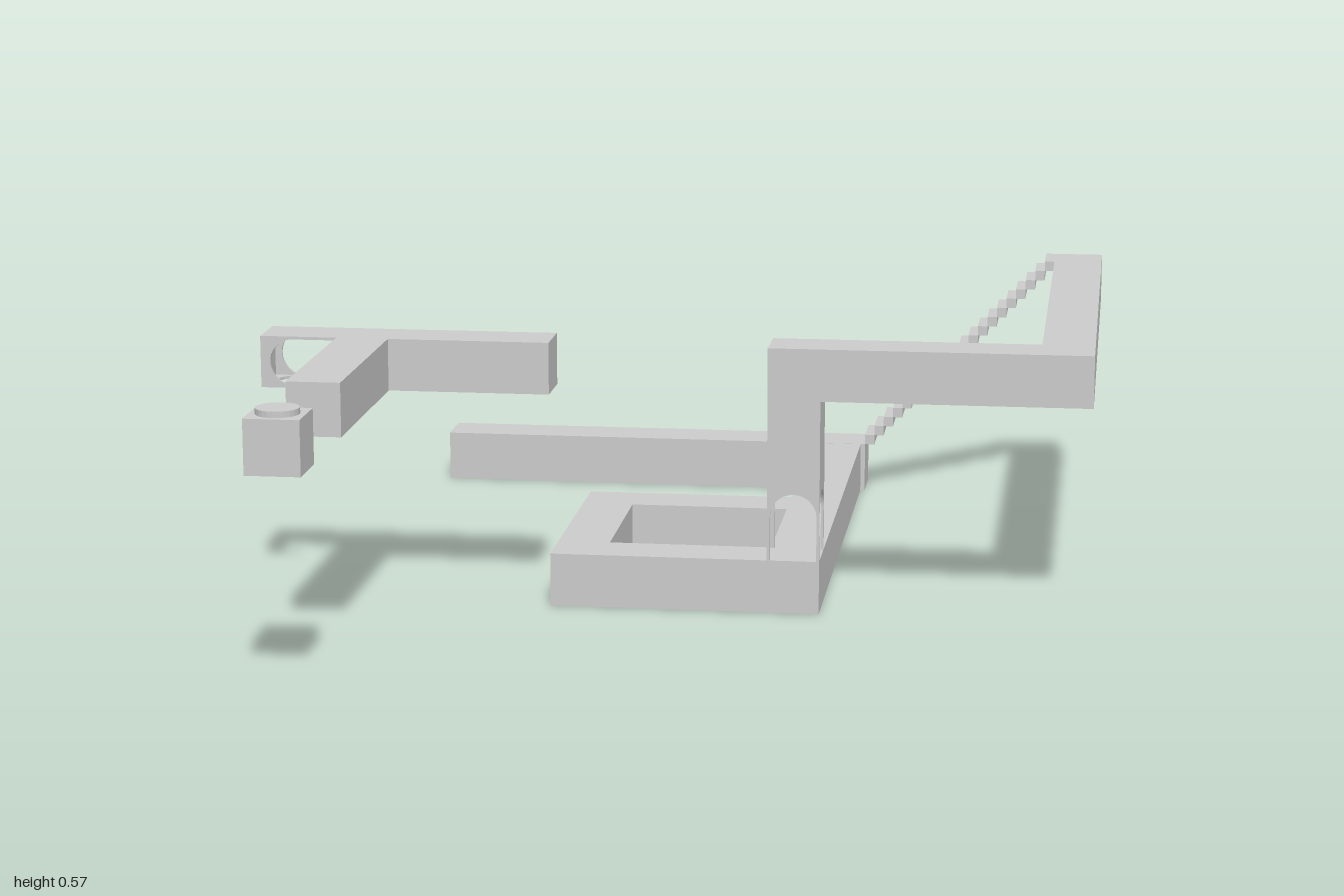
import * as THREE from 'three';

const mat = new THREE.MeshStandardMaterial({ color: 0xcccccc, flatShading: true });
const W = 0.108;        // beam thickness
const ARCH_H = 0.16;    // height of an arch piece
const T = 0.006;        // thickness of arch walls

function add(parent, name, geometry) {
  const mesh = new THREE.Mesh(geometry, mat);
  mesh.name = name;
  parent.add(mesh);
  return mesh;
}

// Box given by its minimum and maximum on each axis
function block(parent, name, [x0, x1], [y0, y1], [z0, z1]) {
  const mesh = add(parent, name, new THREE.BoxGeometry(x1 - x0, y1 - y0, z1 - z0));
  mesh.position.set((x0 + x1) / 2, (y0 + y1) / 2, (z0 + z1) / 2);
  return mesh;
}

// Thin wall with a round-headed doorway, standing on y = 0
function archWall() {
  const h = W / 2, r = h - T, spring = 0.14 - r;
  const s = new THREE.Shape();
  s.moveTo(-h, 0);
  s.lineTo(-r, 0);
  s.lineTo(-r, spring);
  s.absarc(0, spring, r, Math.PI, 0, true);
  s.lineTo(r, 0);
  s.lineTo(h, 0);
  s.lineTo(h, ARCH_H);
  s.lineTo(-h, ARCH_H);
  s.closePath();
  const g = new THREE.ExtrudeGeometry(s, { depth: T, bevelEnabled: false, curveSegments: 16 });
  return g.translate(0, 0, h - T);
}

// Square arch piece, open on four sides; the +x side may be closed
function archPiece(name, closedSide) {
  const group = new THREE.Group();
  group.name = name;
  for (let i = 0; i < 4; i++) {
    if (closedSide && i === 1) continue;
    add(group, 'archWall', archWall()).rotation.y = i * Math.PI / 2;
  }
  if (closedSide) block(group, 'closedWall', [W / 2 - T, W / 2], [0, ARCH_H], [-W / 2, W / 2]);
  block(group, 'archCap', [-W / 2 + T, W / 2 - T], [ARCH_H - T, ARCH_H], [-W / 2 + T, W / 2 - T]);
  return group;
}

export function createModel() {
  const model = new THREE.Group();
  model.name = 'impossiblePath';
  const low = [0, 0.111], high = [0.447, 0.555];
  const front = [0.107, 0.215], back = [-1, -0.89];

  // Lower path: long walkway, square loop and back walkway
  const lower = new THREE.Group();
  lower.name = 'lowerPath';
  model.add(lower);
  block(lower, 'longWalkway', [0.192, 0.302], low, [-0.888, 0.215]);
  block(lower, 'loopFront', [-0.256, 0.192], low, front);
  block(lower, 'loopSide', [-0.256, -0.147], low, [-0.23, 0.107]);
  block(lower, 'loopBack', [-0.256, 0.192], low, [-0.34, -0.23]);
  block(lower, 'backWalkway', [-0.68, 0.312], low, back);

  // Upper path with its column standing on an arch
  const upper = new THREE.Group();
  upper.name = 'upperPath';
  model.add(upper);
  block(upper, 'frontBeam', [0.194, 0.745], high, front);
  block(upper, 'sideBeam', [0.745, 0.853], high, [-1, 0.215]);
  block(upper, 'column', [0.194, 0.302], [low[1] + ARCH_H, high[0]], front);
  const doorway = archPiece('doorway', false);
  doorway.position.set(0.248, low[1], 0.161);
  upper.add(doorway);

  // Stairs rising from the back walkway to the side beam
  const stairs = new THREE.Group();
  stairs.name = 'stairs';
  model.add(stairs);
  const steps = 20, run = (0.745 - 0.312) / steps, rise = (high[1] - low[1]) / steps;
  for (let i = 0; i < steps; i++) {
    const x = 0.312 + i * run, y = low[1] + i * rise;
    block(stairs, 'step', [x, x + run], [y, y + rise], back);
  }

  // Floating T-shaped bridge, ending in an arch laid on its side
  const bridge = new THREE.Group();
  bridge.name = 'bridge';
  model.add(bridge);
  block(bridge, 'bridgeBeam', [-0.698, -0.256], high, front);
  block(bridge, 'bridgeBranch', [-0.698, -0.59], high, [0.215, 0.66]);
  const sideArch = archPiece('sideArch', true);
  sideArch.rotation.z = Math.PI / 2;
  sideArch.position.set(-0.698, (high[0] + high[1]) / 2, 0.161);
  bridge.add(sideArch);

  // Floating cube with a round button
  block(model, 'floatingCube', [-0.698, -0.59], high, [0.892, 1]);
  add(model, 'button', new THREE.CylinderGeometry(0.042, 0.042, 0.012, 24))
    .position.set(-0.644, high[1] + 0.006, 0.946);

  return model;
}
